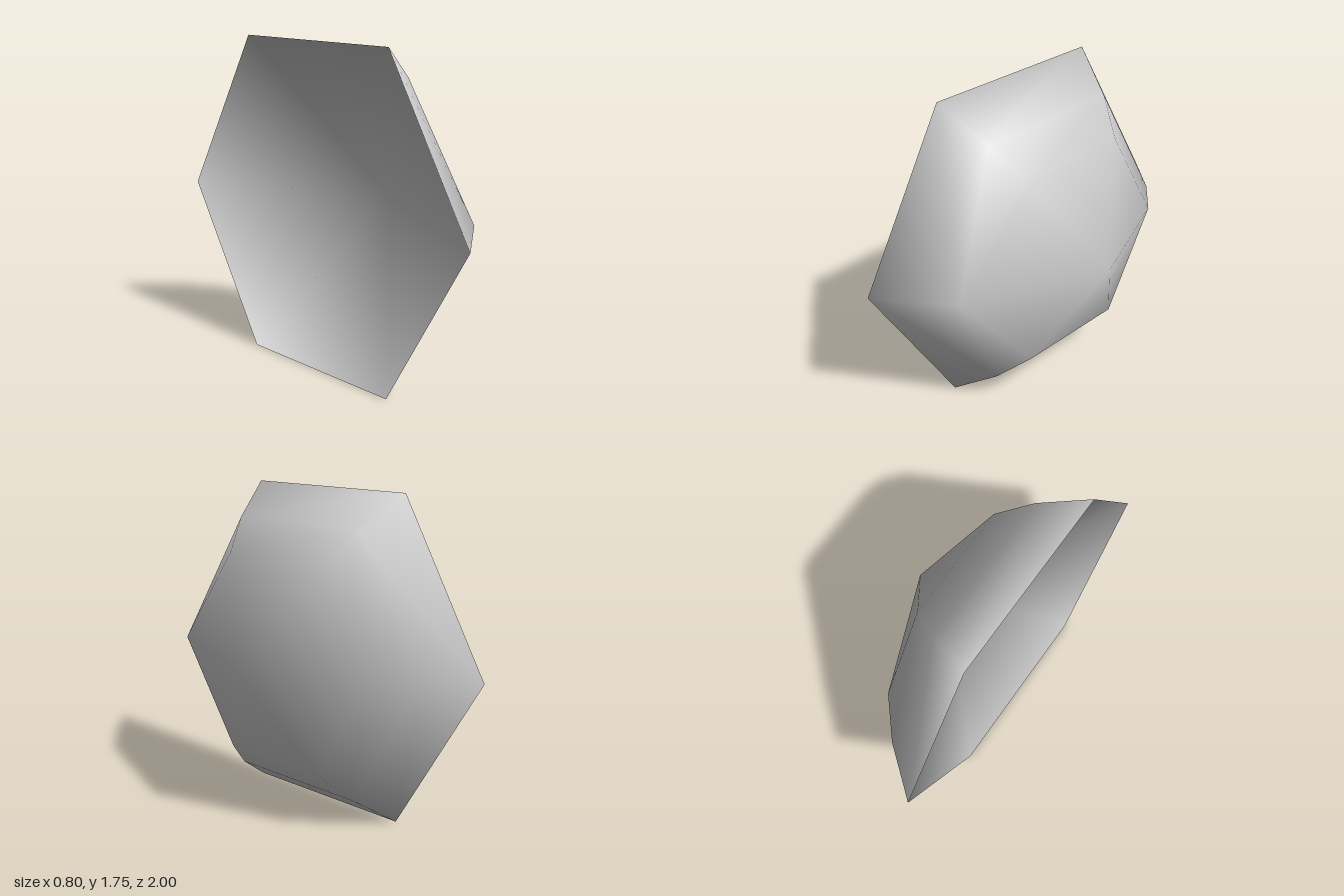
import * as THREE from 'three';

// Six-sided lens-like shell: a smooth dome towards +x, hollowed at the back, slightly turned about y.
const SIDES = 6;
const APEX = 0.678;
const HOLLOW = 0.535; // depth of the hollow behind the rim
// [radius, height] from the rim towards the apex, with a softened shoulder
const SOFT = [[1.0075, 0], [0.812, 0.248], [0.622, 0.419]];
// the front corner keeps one sharp shoulder point
const SHARP = [[1.0075, 0], [0.738, 0.37], [0.738, 0.37]];

function shellGeometry() {
  const points = [APEX, 0, 0, HOLLOW, 0, 0];
  const index = [];
  const column = []; // vertex indices of each meridian, rim to apex
  for (let i = 0; i < SIDES; i++) {
    const a = (i / SIDES) * Math.PI * 2;
    const ids = [];
    (i === 0 ? SHARP : SOFT).forEach(([r, h], k) => {
      if (i === 0 && k === 2) return ids.push(ids[1]); // shared shoulder point
      ids.push(points.length / 3);
      points.push(h, r * Math.sin(a), r * Math.cos(a));
    });
    ids.push(0);
    column.push(ids);
  }
  const triangle = (a, b, c) => {
    if (a !== b && b !== c && c !== a) index.push(a, b, c);
  };
  for (let i = 0; i < SIDES; i++) {
    const p = column[i];
    const q = column[(i + 1) % SIDES];
    // dome
    for (let k = 0; k < 3; k++) {
      triangle(p[k], p[k + 1], q[k]);
      triangle(q[k], p[k + 1], q[k + 1]);
    }
    // hollow back
    triangle(1, p[0], q[0]);
  }
  const geometry = new THREE.BufferGeometry();
  geometry.setAttribute('position', new THREE.Float32BufferAttribute(points, 3));
  geometry.setIndex(index);
  geometry.computeVertexNormals();
  // the thin rim is shaded as rounded, so its normals point straight outwards
  column.forEach(([rim], i) => {
    const a = (i / SIDES) * Math.PI * 2;
    geometry.attributes.normal.setXYZ(rim, 0, Math.sin(a), Math.cos(a));
  });
  return geometry;
}

export function createModel() {
  const group = new THREE.Group();
  group.name = 'hexagonalShell';
  const grey = new THREE.MeshStandardMaterial({ color: 0xcccccc, side: THREE.DoubleSide });
  grey.name = 'light grey';
  const dome = new THREE.Mesh(shellGeometry(), grey);
  dome.name = 'dome';
  dome.position.set(-0.277, 0.8725, 0);
  dome.rotation.y = 0.122;
  group.add(dome);
  return group;
}
